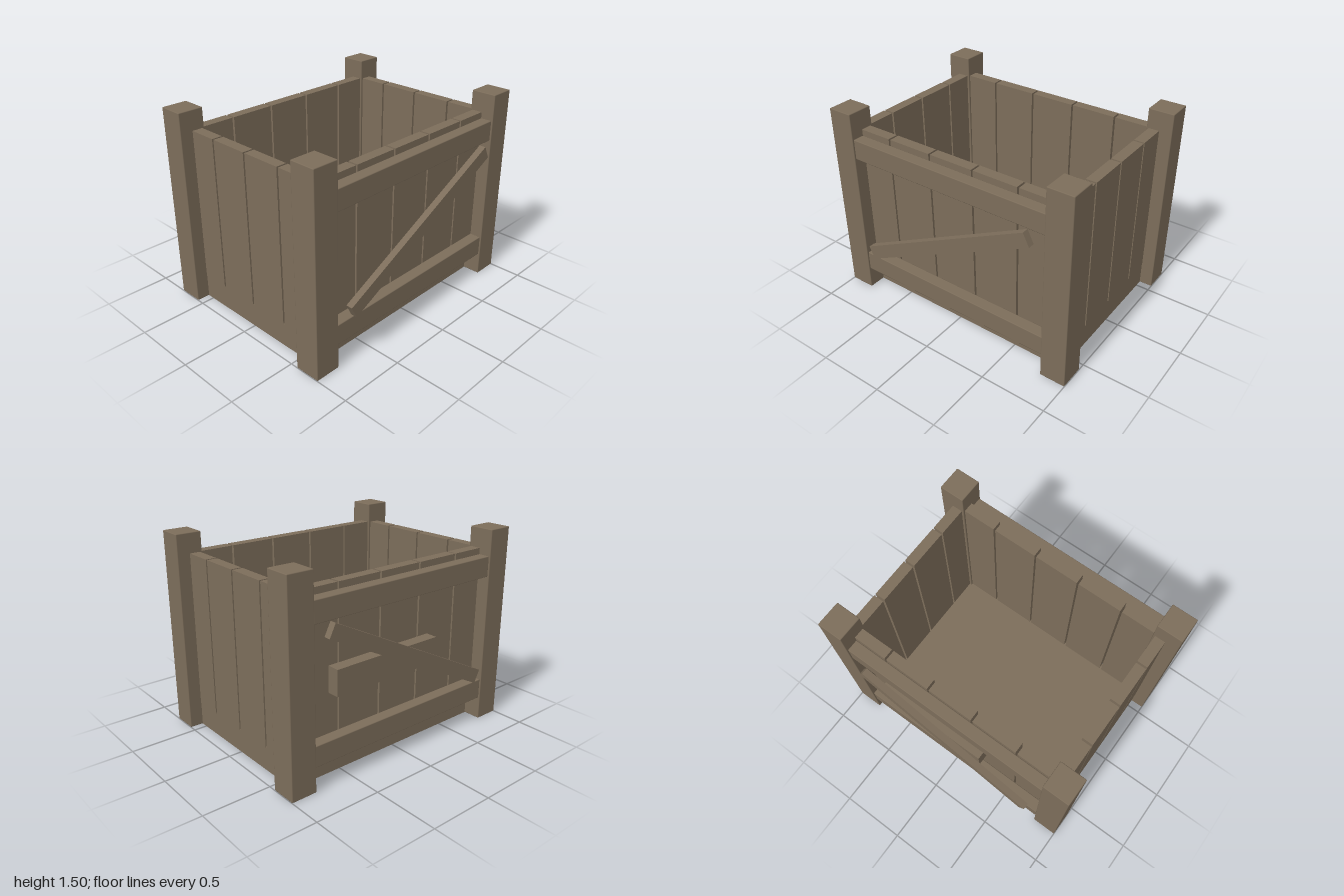
import * as THREE from 'three';
import { RoundedBoxGeometry } from 'three/addons/geometries/RoundedBoxGeometry.js';

export function createModel() {
  const crate = new THREE.Group();
  crate.name = 'woodenCrate';
  const wood = new THREE.MeshStandardMaterial({ color: 0x7c6d5a });
  wood.name = 'weatheredWood';

  const add = (name, geometry, x, y, z) => {
    const mesh = new THREE.Mesh(geometry, wood);
    mesh.name = name;
    mesh.position.set(x, y, z);
    crate.add(mesh);
    return mesh;
  };
  const box = (name, w, h, d, x, y, z) => add(name, new THREE.BoxGeometry(w, h, d), x, y, z);
  // Timber with slightly eased edges
  const timber = (name, w, h, d, x, y, z) =>
    add(name, new RoundedBoxGeometry(w, h, d, 1, 0.006), x, y, z);

  // Solid floor
  box('floor', 1.8, 0.18, 1.23, 0, 0.09, 0);

  // Corner posts
  for (const sx of [-1, 1])
    for (const sz of [-1, 1])
      timber('cornerPost', 0.195, 1.5, 0.195, sx * 0.9025, 0.75, sz * 0.6525);

  for (const s of [-1, 1]) {
    const end = s > 0 ? 'front' : 'back';
    const side = s > 0 ? 'left' : 'right';

    // Upright planks, five on each long wall and four on each short wall
    for (let i = 0; i < 5; i++)
      box(end + 'Plank', 0.345, 1.175, 0.08, (i - 2) * 0.36, 0.7625, s * 0.61);
    for (let i = 0; i < 4; i++)
      box(side + 'Plank', 0.08, 1.175, 0.31, s * 0.862, 0.7625, (i - 1.5) * 0.325);

    // Horizontal rails and diagonal brace
    timber(end + 'LowerRail', 1.61, 0.155, 0.09, 0, 0.2525, s * 0.695);
    timber(end + 'UpperRail', 1.61, 0.155, 0.09, 0, 1.2275, s * 0.695);
    const brace = box(end + 'Brace', 1.565, 0.105, 0.05, 0, 0.7525, s * 0.765);
    brace.rotation.z = Math.atan(0.5);
  }

  // Short board on the back wall
  box('backBoard', 0.9, 0.19, 0.09, 0.17, 0.715, -0.695);

  return crate;
}
